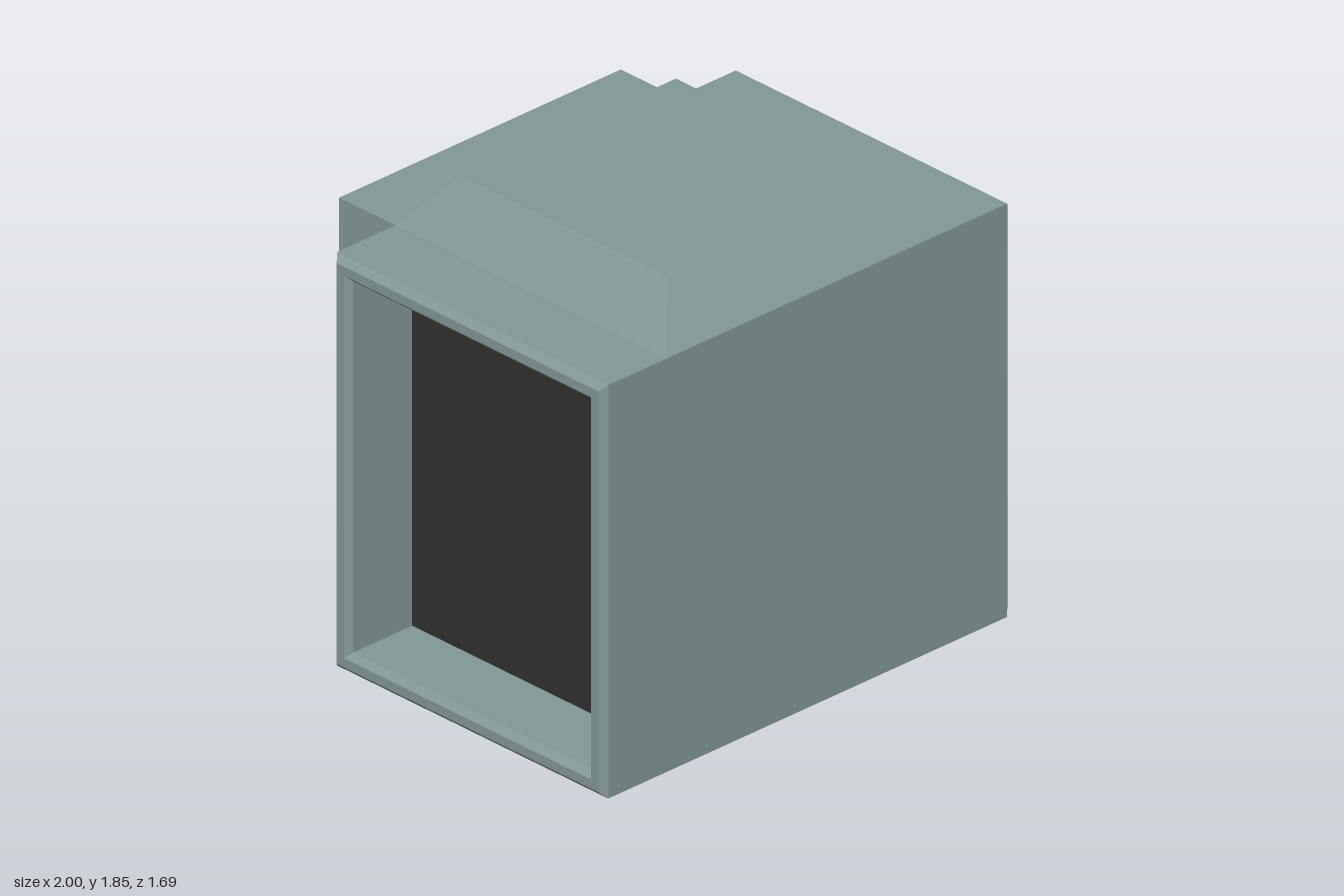
import * as THREE from 'three';

const H = 1.65;      // wall height
const HALF = 0.688;  // half width of the square core
const CZ = 0.155;    // core centre along z
const ARM = 0.311;   // arm length

// Flat-sided loft along z through rectangles [z, inset] cut from a w x h outline
function rectLoft(w, h, sections) {
  const rings = sections.map(([z, inset]) => {
    const x = w / 2 - inset, y = h / 2 - inset;
    return [[-x, -y, z], [x, -y, z], [x, y, z], [-x, y, z]];
  });
  const pos = [];
  for (let s = 0; s < rings.length - 1; s++) {
    for (let i = 0; i < 4; i++) {
      const j = (i + 1) % 4;
      const a = rings[s][i], b = rings[s][j], c = rings[s + 1][j], d = rings[s + 1][i];
      pos.push(...a, ...b, ...c, ...a, ...c, ...d);
    }
  }
  const geo = new THREE.BufferGeometry();
  geo.setAttribute('position', new THREE.Float32BufferAttribute(pos, 3));
  geo.computeVertexNormals();
  return geo;
}

function addMesh(parent, name, geometry, material) {
  const mesh = new THREE.Mesh(geometry, material);
  mesh.name = name;
  parent.add(mesh);
  return mesh;
}

export function createModel() {
  const model = new THREE.Group();
  model.name = 'threeWayJunction';

  const shell = new THREE.MeshStandardMaterial({ color: 0x849898, side: THREE.DoubleSide });
  shell.name = 'greyGreenShell';
  const dark = new THREE.MeshStandardMaterial({ color: 0x313131, side: THREE.DoubleSide });
  dark.name = 'darkPanel';

  // Closed front wall; the core is open underneath
  addMesh(model, 'frontWall', new THREE.PlaneGeometry(2 * HALF, H), shell)
    .position.set(0, H / 2, CZ + HALF);

  // Sloped roof with a flat top
  const roof = new THREE.Group();
  roof.name = 'roof';
  roof.rotation.x = -Math.PI / 2;
  roof.position.set(0, H, CZ);
  addMesh(roof, 'roofSlopes', rectLoft(2 * HALF, 2 * HALF, [[0, 0], [0.2, 0.166]]), shell);
  addMesh(roof, 'roofTop', new THREE.PlaneGeometry(2 * (HALF - 0.166), 2 * (HALF - 0.166)), shell)
    .position.z = 0.2;
  model.add(roof);

  // Three arms: bevelled frame, hollow recess and dark panel at its end
  const frame = rectLoft(2 * HALF, H, [
    [0, 0.085], [0, 0], [ARM - 0.025, 0], [ARM, 0.025],
    [ARM, 0.062], [ARM - 0.025, 0.085], [0, 0.085],
  ]);
  const panel = new THREE.PlaneGeometry(2 * (HALF - 0.085), H - 0.17);
  const arms = [['leftArm', Math.PI / 2], ['rightArm', -Math.PI / 2], ['backArm', Math.PI]];
  for (const [name, angle] of arms) {
    const arm = new THREE.Group();
    arm.name = name;
    arm.rotation.y = angle;
    arm.position.set(HALF * Math.sin(angle), H / 2, CZ + HALF * Math.cos(angle));
    addMesh(arm, name + 'Frame', frame, shell);
    addMesh(arm, name + 'Panel', panel, dark);
    model.add(arm);
  }

  return model;
}
